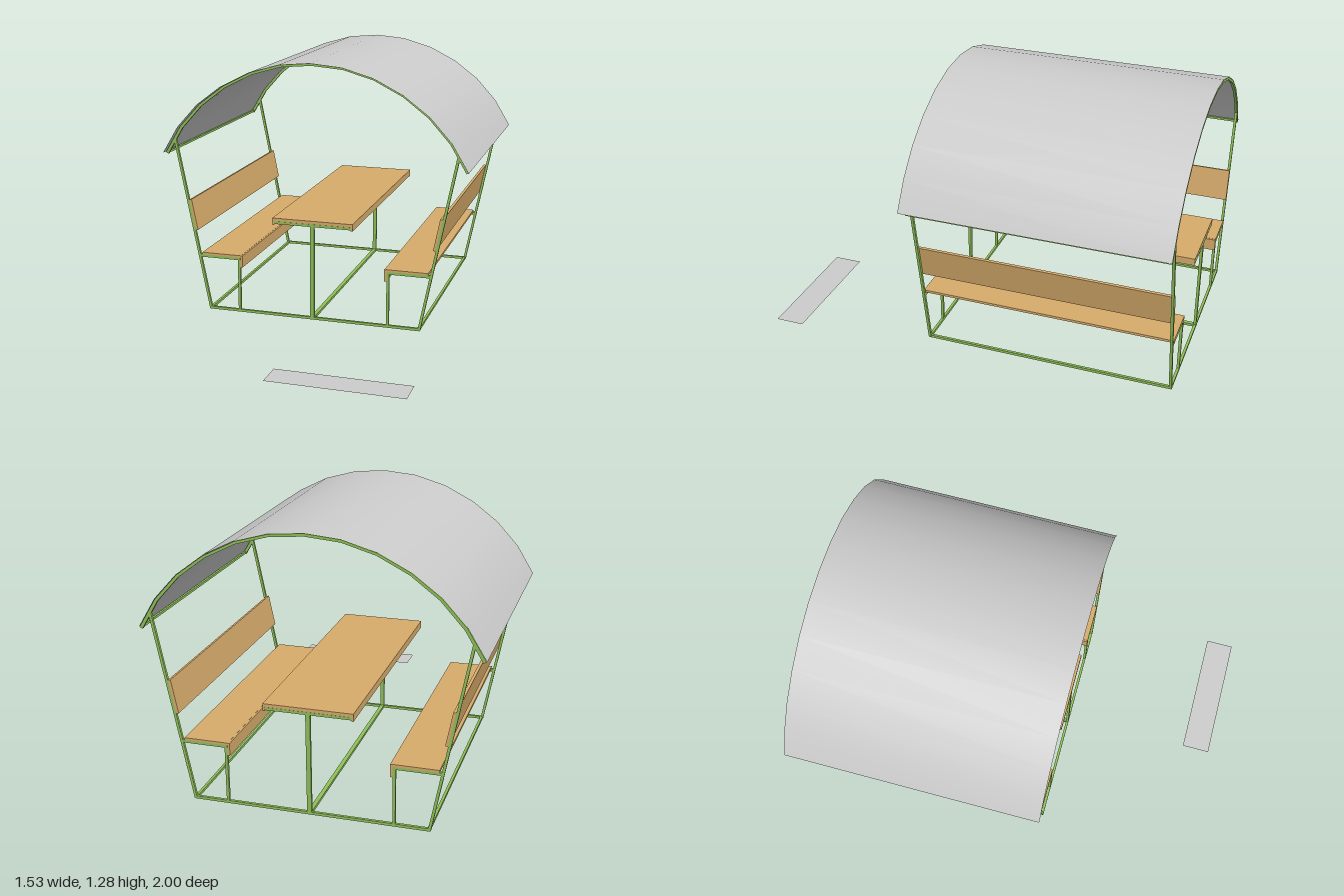
import * as THREE from 'three';

const FRONT = 0.213, BACK = -0.993, T = 0.013; // frame planes and tube thickness
const MID = (FRONT + BACK) / 2, LEN = FRONT - BACK;

const green = new THREE.MeshStandardMaterial({ color: 0x8fbf5a });
const wood = new THREE.MeshStandardMaterial({ color: 0xd6ab6b });
const grey = new THREE.MeshStandardMaterial({ color: 0xcccccc, side: THREE.DoubleSide });

// right half of the arch, from crown to eave
const half = [[0, 1.28], [0.157, 1.266], [0.31, 1.222], [0.452, 1.15], [0.578, 1.055], [0.684, 0.938], [0.765, 0.803]];
const arch = [...half.slice(1).reverse().map(([x, y]) => [-x, y]), ...half];

export function createModel() {
  const model = new THREE.Group();

  function box(name, material, w, h, d, x, y, z, parent = model) {
    const mesh = new THREE.Mesh(new THREE.BoxGeometry(w, h, d), material);
    mesh.name = name;
    mesh.position.set(x, y, z);
    parent.add(mesh);
    return mesh;
  }
  // straight tube between two points in a plane of constant z
  function bar(name, x1, y1, x2, y2, z, parent, w = T) {
    const m = box(name, green, Math.hypot(x2 - x1, y2 - y1), w, T, (x1 + x2) / 2, (y1 + y2) / 2, z, parent);
    m.rotation.z = Math.atan2(y2 - y1, x2 - x1);
  }

  // end frames
  for (const [name, z] of [['frontFrame', FRONT], ['backFrame', BACK]]) {
    const frame = new THREE.Group();
    frame.name = name;
    model.add(frame);
    bar('floorBar', -0.545, 0.0065, 0.545, 0.0065, z, frame);
    bar('tablePost', 0, 0.01, 0, 0.482, z, frame, 0.021);
    bar('tableSupport', -0.197, 0.484, 0.197, 0.484, z, frame);
    for (const s of [-1, 1]) {
      bar('post', s * 0.541, 0.003, s * 0.715, 0.878, z, frame);
      bar('seatSupport', s * 0.378, 0.279, s * 0.593, 0.279, z, frame);
      bar('seatLeg', s * 0.384, 0.01, s * 0.384, 0.275, z, frame);
    }
    // roof rib: thin band following the arch
    const shape = new THREE.Shape();
    const inner = arch.map(([x, y]) => [x * 0.983, y - 0.013 * (1 - 0.5 * Math.abs(x))]).reverse();
    [...arch, ...inner].forEach(([x, y], i) => (i ? shape.lineTo(x, y) : shape.moveTo(x, y)));
    const rib = new THREE.Mesh(new THREE.ExtrudeGeometry(shape, { depth: T, bevelEnabled: false }), green);
    rib.name = 'roofRib';
    rib.position.z = z - T / 2;
    frame.add(rib);
  }

  // lengthwise tubes
  box('centreRail', green, 0.02, T, LEN, 0, 0.0065, MID);
  for (const s of [-1, 1]) {
    box('floorRail', green, T, T, LEN, s * 0.539, 0.0065, MID);
    box('eaveRail', green, 0.011, 0.011, LEN, s * 0.757, 0.804, MID);
  }

  // table top with edge strips
  const table = new THREE.Group();
  table.name = 'table';
  model.add(table);
  box('tableTop', wood, 0.41, 0.016, LEN + T, 0, 0.499, MID, table);
  for (const s of [-1, 1]) box('tableEdge', wood, 0.008, 0.034, LEN + T, s * 0.201, 0.489, MID, table);

  // benches
  for (const s of [-1, 1]) {
    const bench = new THREE.Group();
    bench.name = s > 0 ? 'leftBench' : 'rightBench';
    model.add(bench);
    box('seat', wood, 0.207, 0.012, LEN + T, s * 0.4785, 0.2905, MID, bench);
    box('seatEdge', wood, 0.011, 0.06, LEN + T, s * 0.3715, 0.2655, MID, bench);
    const rest = box('backrest', wood, 0.013, 0.16, LEN + T, s * 0.6245, 0.489, MID, bench);
    rest.rotation.z = -s * Math.atan2(0.174, 0.875);
  }

  // smooth curved roof sheet, slightly above the ribs
  const roofGeo = new THREE.PlaneGeometry(1, 1, arch.length - 1, 1);
  const pos = roofGeo.attributes.position;
  for (let i = 0; i < pos.count; i++) {
    const [x, y] = arch[i % arch.length];
    pos.setXYZ(i, x * 1.003, y + 0.002, i < arch.length ? -1 : 0.25);
  }
  roofGeo.computeVertexNormals();
  const roof = new THREE.Mesh(roofGeo, grey);
  roof.name = 'roof';
  model.add(roof);

  // loose flat panel on the ground
  const panel = new THREE.Mesh(new THREE.PlaneGeometry(0.64, 0.14), grey);
  panel.name = 'groundPanel';
  panel.rotation.x = -Math.PI / 2;
  panel.position.set(0.347, 0.001, 0.93);
  model.add(panel);

  return model;
}
